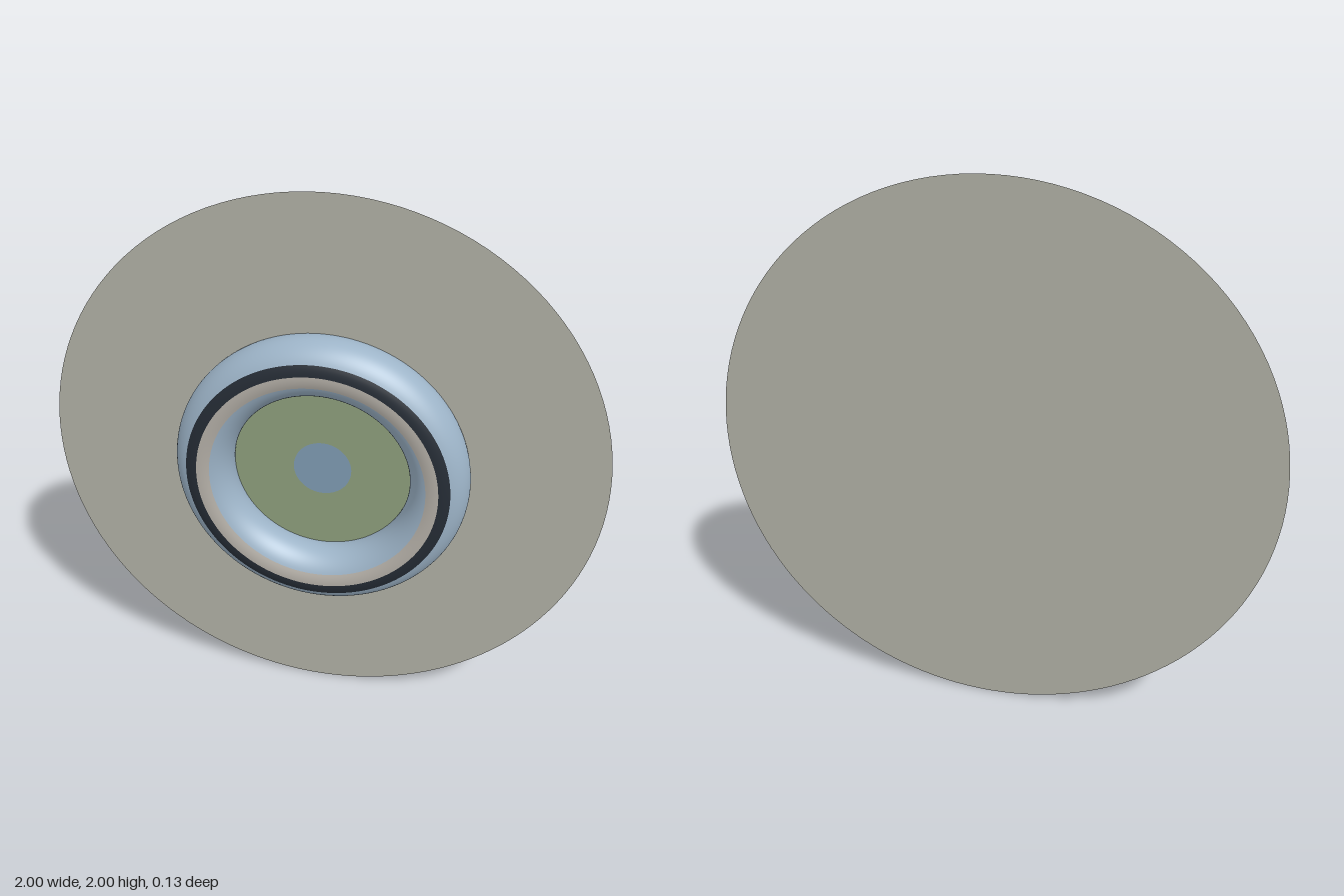
import * as THREE from 'three';

const BACK = -0.0675;      // z of the flat back plate
const MAJOR = 0.425;       // ring centreline radius
const TUBE = 0.105;        // ring cross-section radius
const TUBE_Z = 0.0675 - TUBE;
const SEGMENTS = 128;

function material(color) {
  return new THREE.MeshStandardMaterial({ color, side: THREE.DoubleSide });
}

// Flat circle or annulus facing the front
function flat(name, inner, outer, z, color) {
  const geometry = inner > 0
    ? new THREE.RingGeometry(inner, outer, SEGMENTS)
    : new THREE.CircleGeometry(outer, SEGMENTS);
  const mesh = new THREE.Mesh(geometry, material(color));
  mesh.name = name;
  mesh.position.z = z;
  return mesh;
}

// Band of the rounded ring between two angles of its cross-section
function band(name, from, to, color) {
  const steps = Math.max(4, Math.ceil((to - from) * 12));
  const points = [];
  for (let i = 0; i <= steps; i++) {
    const a = from + (to - from) * i / steps;
    points.push(new THREE.Vector2(MAJOR + TUBE * Math.cos(a), TUBE_Z + TUBE * Math.sin(a)));
  }
  const geometry = new THREE.LatheGeometry(points, SEGMENTS);
  geometry.rotateX(Math.PI / 2);
  const mesh = new THREE.Mesh(geometry, material(color));
  mesh.name = name;
  return mesh;
}

export function createModel() {
  const model = new THREE.Group();
  model.name = 'ringedDisc';

  // Thin plates stacked from back to front
  model.add(flat('backPlate', 0, 1, BACK, 0xb0b0a5));
  model.add(flat('innerDisc', 0, 0.325, BACK + 0.002, 0x8e9f7c));
  model.add(flat('centreDisc', 0, 0.105, BACK + 0.004, 0x7f9cb3));

  // Rounded ring, cut flat where it meets the plate
  const cut = Math.asin((BACK + 0.001 - TUBE_Z) / TUBE);
  const angleAt = (radius) => Math.acos((radius - MAJOR) / TUBE);
  const ring = new THREE.Group();
  ring.name = 'ring';
  ring.add(band('outerBand', cut, angleAt(0.47), 0x9db4c8));
  ring.add(band('darkBand', angleAt(0.47), angleAt(0.43), 0x252c35));
  ring.add(band('paleBand', angleAt(0.43), angleAt(0.385), 0xb5b0a8));
  ring.add(band('innerBand', angleAt(0.385), Math.PI - cut, 0x9db4c8));
  const half = TUBE * Math.cos(cut);
  ring.add(flat('ringBase', MAJOR - half, MAJOR + half, BACK + 0.001, 0xb5aea5));
  model.add(ring);

  model.position.y = 1;
  const root = new THREE.Group();
  root.add(model);
  return root;
}
